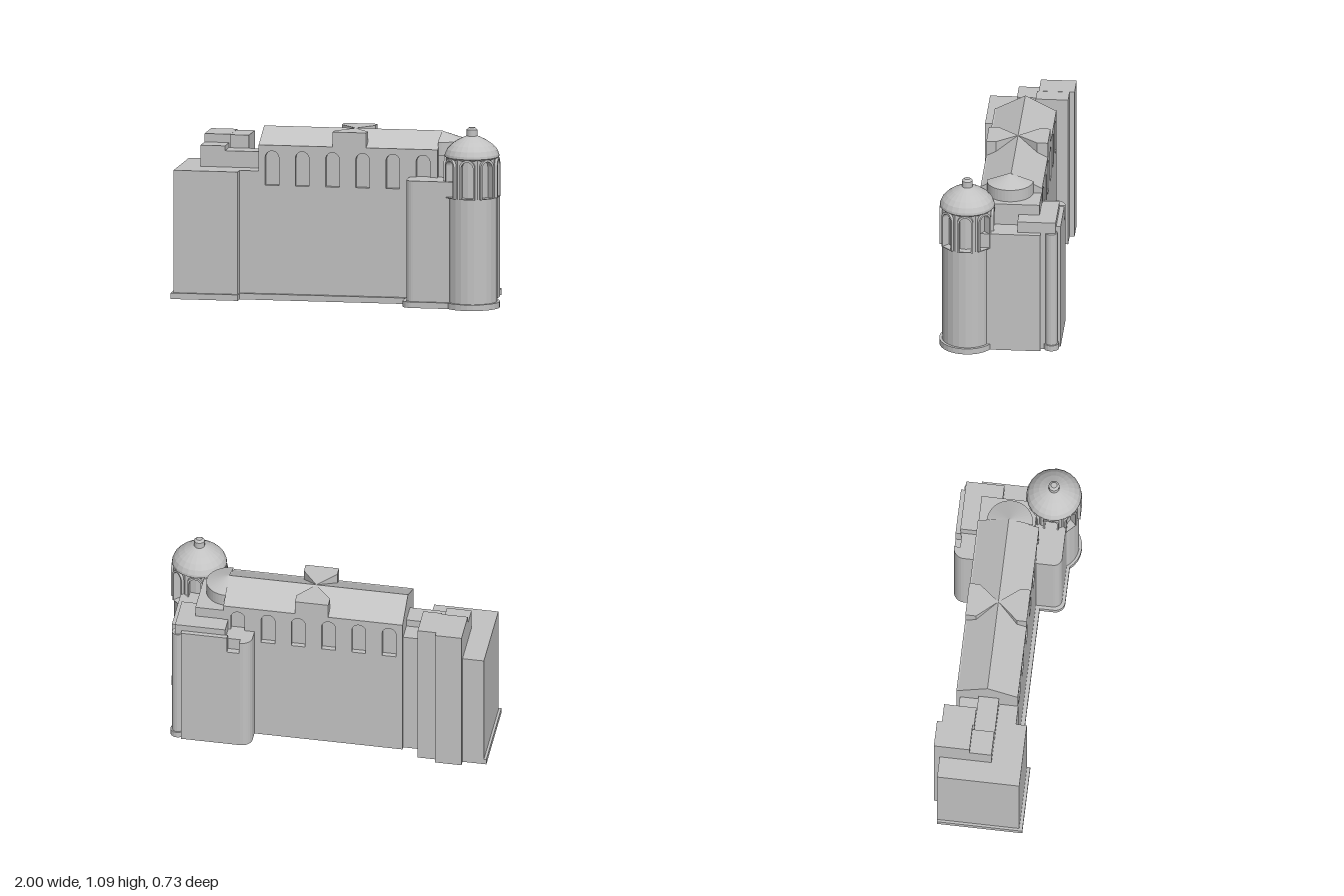
import * as THREE from 'three';

export function createModel() {
  const model = new THREE.Group();
  const stone = new THREE.MeshStandardMaterial({ color: 0xc2c2c2 });

  function add(name, geometry, parent = model) {
    const g = geometry.index ? geometry.toNonIndexed() : geometry;
    g.computeVertexNormals(); // flat facets
    const mesh = new THREE.Mesh(g, stone);
    mesh.name = name;
    parent.add(mesh);
    return mesh;
  }
  // Box given by its limits
  function block(name, x0, x1, y0, y1, z0, z1) {
    const g = new THREE.BoxGeometry(x1 - x0, y1 - y0, z1 - z0);
    return add(name, g.translate((x0 + x1) / 2, (y0 + y1) / 2, (z0 + z1) / 2));
  }
  // Upright prism over a plan of [x, z] points
  function prism(name, plan, y0, y1) {
    const shape = new THREE.Shape(plan.map(([x, z]) => new THREE.Vector2(x, -z)));
    const g = new THREE.ExtrudeGeometry(shape, { depth: y1 - y0, bevelEnabled: false });
    return add(name, g.rotateX(-Math.PI / 2).translate(0, y0, 0));
  }
  function drum(name, x, z, r, y0, y1, sides = 24) {
    const g = new THREE.CylinderGeometry(r, r, y1 - y0, sides);
    return add(name, g.translate(x, (y0 + y1) / 2, z));
  }
  // Round-headed outline, used for openings and frames
  function arch(path, x, w, y0, y1) {
    const r = w / 2;
    path.moveTo(x - r, y0);
    path.lineTo(x + r, y0);
    path.lineTo(x + r, y1 - r);
    path.absarc(x, y1 - r, r, 0, Math.PI, false);
    path.lineTo(x - r, y0);
    return path;
  }
  function rect(x0, x1, y0, y1) {
    return new THREE.Shape([[x0, y0], [x1, y0], [x1, y1], [x0, y1]].map(p => new THREE.Vector2(...p)));
  }
  function corner(cx, cz, r, from, to, n = 6) {
    return Array.from({ length: n + 1 }, (_, i) => {
      const a = from + (to - from) * i / n;
      return [cx + r * Math.cos(a), cz + r * Math.sin(a)];
    });
  }

  // Nave: core and pierced side walls
  const W = -0.48, E = 0.61, S = 0.127, N = -0.243, ridge = -0.056;
  block('naveCore', W, E, 0, 0.93, N + 0.03, S - 0.03);
  for (const [name, z] of [['southWall', S - 0.03], ['northWall', N]]) {
    const wall = rect(W, E, 0, 0.935);
    for (let i = 0; i < 6; i++) {
      wall.holes.push(arch(new THREE.Path(), -0.398 + i * 0.184, 0.084, 0.692, 0.9));
    }
    add(name, new THREE.ExtrudeGeometry(wall, { depth: 0.03, bevelEnabled: false, curveSegments: 10 }).translate(0, 0, z));
  }

  // Pitched roof
  const gable = new THREE.Shape([[-S, 0.93], [-N, 0.93], [-ridge, 1.025]].map(p => new THREE.Vector2(...p)));
  add('naveRoof', new THREE.ExtrudeGeometry(gable, { depth: E - W, bevelEnabled: false })
    .rotateY(Math.PI / 2).translate(W, 0, 0));

  // Flat-topped dormers tapering to the ridge
  for (const [z, inner] of [[S, 0.068], [N, -0.178]]) {
    prism('dormer', [[-0.028, z], [0.175, z], [0.175, inner], [0.078, ridge], [-0.028, inner]], 0.92, 1.025);
  }

  // West block with stepped tops
  block('westBlock', -0.985, -0.595, 0, 0.777, -0.3, 0.195);
  block('westLink', -0.6, W, 0, 0.777, -0.2, 0.13);
  block('westTower', -0.855, -0.695, 0, 0.956, -0.335, -0.12);
  block('westTowerShoulder', -0.695, -0.583, 0, 0.955, -0.305, -0.11);
  block('westStep', -0.855, -0.705, 0.75, 0.905, -0.12, 0.012);
  block('westStepLow', -0.705, W, 0.75, 0.876, -0.11, 0.014);
  block('westButtress', -0.583, W, 0, 0.83, -0.222, -0.11);

  // East block with rounded corners and a notched back corner
  const east = [
    [0.92, 0.2], [0.92, -0.255], [0.885, -0.255], [0.885, -0.295], [0.845, -0.295], [0.845, -0.372],
  ];
  const eastWest = [
    ...corner(0.485, -0.307, 0.065, -Math.PI / 2, -Math.PI), [0.42, -0.1], [0.44, -0.1],
    ...corner(0.49, 0.23, 0.05, Math.PI, Math.PI / 2), [0.8, 0.28],
  ];
  prism('eastBlock', [...east, ...eastWest], 0, 0.69);
  prism('eastBlockTop', [
    ...east, [0.565, -0.372], [0.565, -0.335], [0.49, -0.335], [0.49, -0.372], ...eastWest,
  ], 0.69, 0.766);
  drum('cornerColumn', 0.872, -0.318, 0.036, 0, 0.766, 16);
  drum('cornerColumnBase', 0.872, -0.318, 0.045, 0, 0.036, 16);
  block('eastParapet', 0.565, 0.845, 0.76, 0.795, -0.372, -0.34);
  block('eastStepLow', 0.58, 0.885, 0.76, 0.835, -0.345, -0.115);
  block('eastStep', 0.6, 0.78, 0.76, 0.9, -0.24, 0.1);

  // Apse: half drum under a half cone
  add('apseDrum', new THREE.CylinderGeometry(0.14, 0.14, 0.08, 20, 1, false, 0, Math.PI)
    .translate(E - 0.005, 0.935, -0.05));
  add('apseRoof', new THREE.ConeGeometry(0.14, 0.05, 20, 1, false, 0, Math.PI)
    .translate(E - 0.005, 1.0, -0.05));

  // Plinths
  block('westPlinth', -1, -0.59, 0, 0.036, -0.3, 0.215);
  block('navePlinth', -0.6, 0.45, 0, 0.036, 0, 0.152);
  prism('eastPlinth', [[0.8, 0.1], [0.42, 0.1], ...corner(0.48, 0.24, 0.06, Math.PI, Math.PI / 2), [0.8, 0.3]], 0, 0.036);

  // Round tower
  const tower = new THREE.Group();
  tower.name = 'roundTower';
  tower.position.set(0.832, 0, 0.19);
  model.add(tower);
  const cyl = (name, r, y0, y1, sides) => tower.add(drum(name, 0, 0, r, y0, y1, sides));
  cyl('towerPlinth', 0.168, 0, 0.036, 28);
  cyl('towerShaft', 0.152, 0, 0.672, 24);
  cyl('lanternCore', 0.122, 0.66, 0.92, 16);

  // Eight-sided lantern with framed arches
  for (let i = 0; i < 8; i++) {
    const side = new THREE.Group();
    side.name = 'lanternSide';
    side.rotation.y = i * Math.PI / 4;
    tower.add(side);
    const panel = rect(-0.061, 0.061, 0.67, 0.917);
    panel.holes.push(arch(new THREE.Path(), 0, 0.072, 0.675, 0.897));
    add('lanternPanel', new THREE.ExtrudeGeometry(panel, { depth: 0.035, bevelEnabled: false, curveSegments: 8 })
      .translate(0, 0, 0.112), side);
    const frame = arch(new THREE.Shape(), 0, 0.094, 0.67, 0.911);
    frame.holes.push(arch(new THREE.Path(), 0, 0.072, 0.675, 0.897));
    add('archFrame', new THREE.ExtrudeGeometry(frame, { depth: 0.024, bevelEnabled: false, curveSegments: 8 })
      .translate(0, 0, 0.14), side);
  }

  // Dome and finial
  const profile = [
    [0, 0.9], [0.148, 0.9], [0.165, 0.915], [0.163, 0.93], [0.15, 0.958], [0.125, 0.985],
    [0.09, 1.01], [0.05, 1.03], [0.032, 1.037], [0.032, 1.075], [0.018, 1.087], [0, 1.087],
  ];
  add('domeAndFinial', new THREE.LatheGeometry(profile.map(p => new THREE.Vector2(...p)), 24), tower);

  return model;
}
